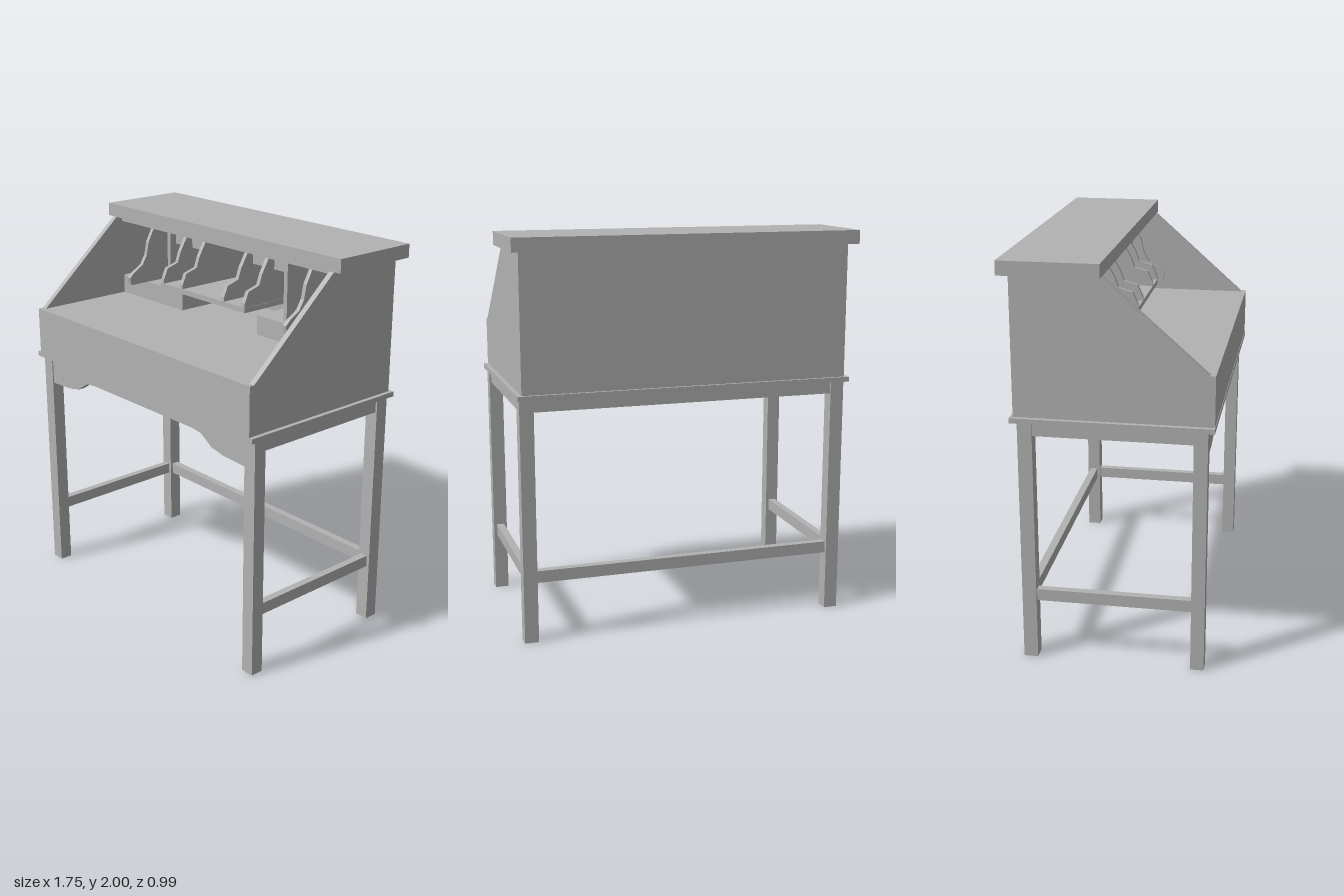
import * as THREE from 'three';

export function createModel() {
  const desk = new THREE.Group();
  desk.name = 'slantFrontDesk';
  const grey = new THREE.MeshStandardMaterial({ color: 0xb2b2b2 });
  grey.name = 'plainGrey';

  const add = (name, geometry) => {
    const mesh = new THREE.Mesh(geometry, grey);
    mesh.name = name;
    desk.add(mesh);
    return mesh;
  };
  // Box given by its limits on each axis
  const box = (name, x0, x1, y0, y1, z0, z1) => {
    const g = new THREE.BoxGeometry(x1 - x0, y1 - y0, z1 - z0);
    g.translate((x0 + x1) / 2, (y0 + y1) / 2, (z0 + z1) / 2);
    return add(name, g);
  };
  const extrude = (points, depth) => new THREE.ExtrudeGeometry(
    new THREE.Shape(points.map(([a, b]) => new THREE.Vector2(a, b))),
    { depth, bevelEnabled: false });
  // Upright board with a (z, y) outline, centred on x
  const board = (name, points, x, thickness) => {
    const g = extrude(points, thickness);
    g.rotateY(-Math.PI / 2);
    g.translate(x + thickness / 2, 0, 0);
    return add(name, g);
  };

  // Stand: legs, side stretchers and side aprons
  for (const s of [-1, 1]) {
    const sideBox = (name, a, b, ...rest) =>
      box(name, Math.min(s * a, s * b), Math.max(s * a, s * b), ...rest);
    sideBox('frontLeg', 0.774, 0.844, 0, 1.23, 0.4, 0.466);
    sideBox('backLeg', 0.774, 0.844, 0, 1.23, -0.43, -0.36);
    sideBox('sideStretcher', 0.79, 0.828, 0.305, 0.365, -0.36, 0.4);
    sideBox('sideApron', 0.8, 0.835, 1.165, 1.23, -0.36, 0.4);
  }
  box('backStretcher', -0.774, 0.774, 0.305, 0.365, -0.415, -0.375);
  box('backApron', -0.774, 0.774, 1.165, 1.23, -0.42, -0.385);

  // Shaped front apron, mirrored about the middle
  const curve = [[0.774, 1.084], [0.62, 1.091], [0.54, 1.107], [0.46, 1.157], [0.4, 1.165]];
  const apron = extrude([
    [-0.774, 1.23], ...curve.map(([x, y]) => [-x, y]),
    ...curve.slice().reverse(), [0.774, 1.23]], 0.035);
  apron.translate(0, 0, 0.425);
  add('frontApron', apron);

  // Case
  box('baseMoulding', -0.857, 0.857, 1.23, 1.255, -0.465, 0.497);
  box('lowerCase', -0.835, 0.835, 1.255, 1.5, -0.45, 0.495);
  for (const x of [-0.82, 0.82]) {
    board('sidePanel', [[0.468, 1.5], [-0.02, 1.93], [-0.45, 1.93], [-0.45, 1.5]], x, 0.03);
  }
  box('backPanel', -0.805, 0.805, 1.5, 1.93, -0.45, -0.43);
  box('topBoard', -0.875, 0.875, 1.932, 2, -0.497, -0.023);

  // Pigeonhole interior
  box('topRail', -0.805, 0.805, 1.905, 1.932, -0.43, -0.06);
  box('leftDrawerBox', 0.285, 0.805, 1.5, 1.6, -0.43, -0.065);
  box('rightDrawerBox', -0.805, -0.297, 1.5, 1.6, -0.43, -0.065);
  box('centreShelf', -0.325, 0.325, 1.642, 1.668, -0.43, 0.058);

  const outerProfile = [[-0.43, 1.6], [0.05, 1.6], [0.057, 1.64], [0.03, 1.665],
    [-0.03, 1.7], [-0.06, 1.75], [-0.075, 1.82], [-0.12, 1.905], [-0.43, 1.905]];
  const innerProfile = [[-0.43, 1.66], [0.058, 1.66], [0.055, 1.69], [0.03, 1.745],
    [-0.04, 1.765], [-0.06, 1.82], [-0.11, 1.905], [-0.43, 1.905]];
  for (const s of [-1, 1]) {
    board('outerDivider', outerProfile, s * 0.602, 0.022);
    for (const x of [0.16, 0.312]) board('innerDivider', innerProfile, s * x, 0.022);
    box('middleDivider', s * 0.447 - 0.012, s * 0.447 + 0.012, 1.6, 1.905, -0.43, -0.1);
    // Small valances between the dividers
    for (const [x, w] of [[0.38, 0.112], [0.236, 0.13]]) {
      box('valance', s * x - w / 2, s * x + w / 2, 1.83, 1.905, -0.16, -0.14);
    }
  }
  return desk;
}
